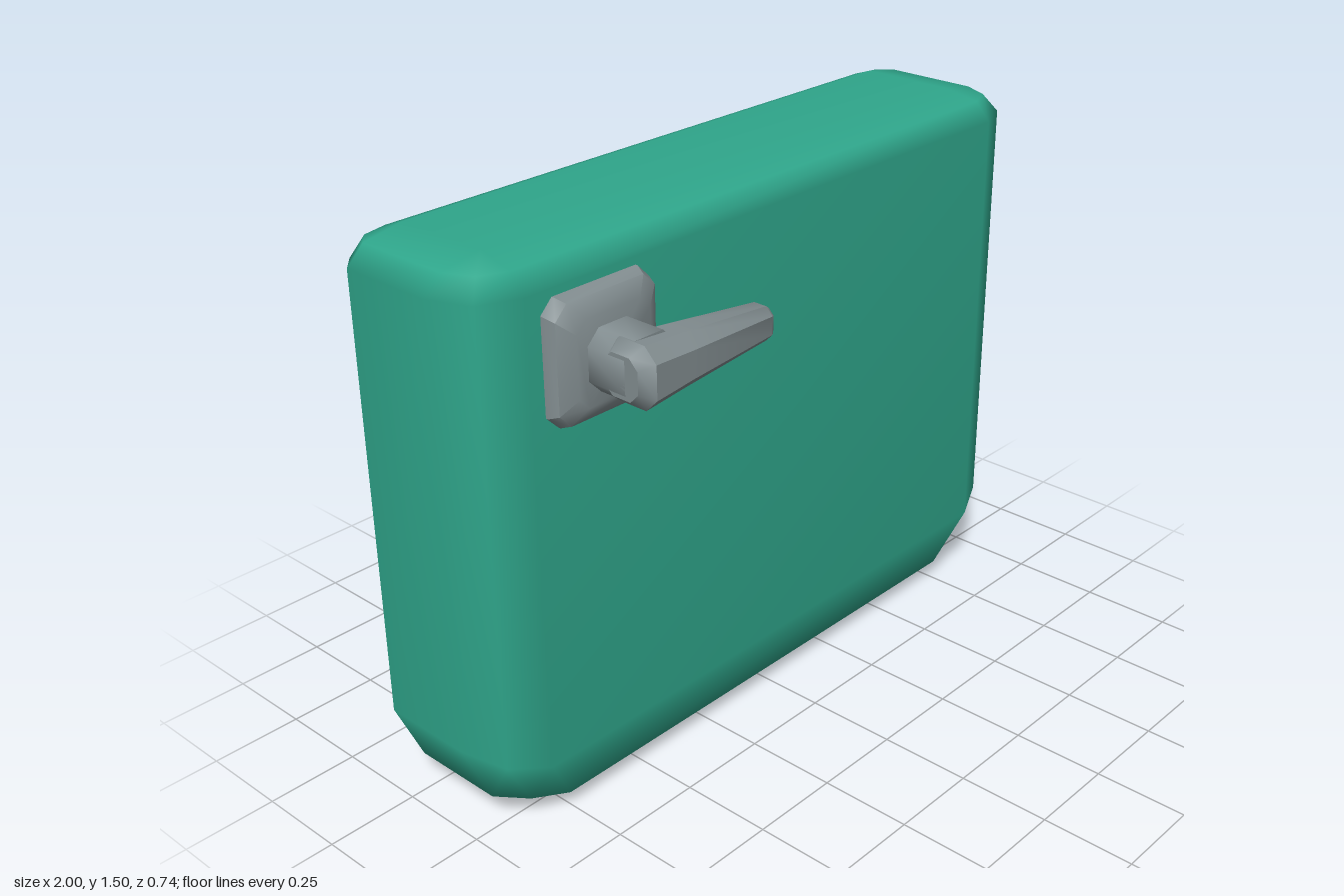
import * as THREE from 'three';
import { mergeVertices, toCreasedNormals } from 'three/addons/utils/BufferGeometryUtils.js';

// Skin a list of rings (each counter-clockwise about the loft axis) and cap both ends.
function loft(rings) {
  const n = rings[0].length, last = (rings.length - 1) * n, index = [];
  for (let i = 0; i < rings.length - 1; i++) {
    for (let j = 0; j < n; j++) {
      const k = (j + 1) % n, a = i * n, b = a + n;
      index.push(a + j, a + k, b + k, a + j, b + k, b + j);
    }
  }
  for (let j = 1; j < n - 1; j++) {
    index.push(0, j + 1, j, last, last + j, last + j + 1);
  }
  let g = new THREE.BufferGeometry();
  g.setAttribute('position', new THREE.Float32BufferAttribute(rings.flat(2), 3));
  g.setIndex(index);
  g = mergeVertices(g, 1e-4);
  g.computeVertexNormals();
  return g;
}

// Rectangle with cut corners, counter-clockwise in (u, v).
function octagon(u0, u1, v0, v1, c) {
  return [[u0 + c, v0], [u1 - c, v0], [u1, v0 + c], [u1, v1 - c],
    [u1 - c, v1], [u0 + c, v1], [u0, v1 - c], [u0, v0 + c]];
}
const alongX = (x, ...r) => octagon(...r).map(([y, z]) => [x, y, z]);
const alongZ = (z, ...r) => octagon(...r).map(([x, y]) => [x, y, z]);

// Horizontal tank ring: three points per corner, listed from the z side to the x side.
// xs = half widths, front/back = z positions, ys = heights of those points.
function tankRing(xs, front, back, ys) {
  const corner = (s, zs) => xs.map((x, i) => [s * x, ys[i], zs[i]]);
  return [...corner(1, front), ...corner(1, back).reverse(),
    ...corner(-1, back), ...corner(-1, front).reverse()];
}

export function createModel() {
  const green = new THREE.MeshStandardMaterial({ color: 0x2fa68b });
  green.name = 'green';
  const grey = new THREE.MeshStandardMaterial({ color: 0x838e91 });
  grey.name = 'grey';

  const group = new THREE.Group();
  group.name = 'waterTank';
  const add = (name, geometry, material, parent = group) => {
    const mesh = new THREE.Mesh(geometry, material);
    mesh.name = name;
    parent.add(mesh);
  };

  // Tank body: deep bevel at the bottom, shallow bevel at the top
  const sides = [[0.85, 0.955, 1], [0.128, 0.083, -0.03], [-0.37, -0.34, -0.29]];
  add('tankBody', loft([
    tankRing([0.75, 0.75, 0.75], [-0.02, -0.02, -0.02], [-0.285, -0.285, -0.285], [0, 0, 0]),
    tankRing([0.76, 0.86, 0.925], [0.085, 0.05, -0.02], [-0.34, -0.325, -0.285], [0.05, 0.07, 0.078]),
    tankRing(...sides, [0.2, 0.23, 0.25]),
    tankRing(...sides, [1.43, 1.43, 1.43]),
    tankRing([0.85, 0.92, 0.955], [0.085, 0.055, -0.02], [-0.34, -0.325, -0.285], [1.48, 1.48, 1.48]),
    tankRing([0.84, 0.84, 0.84], [-0.02, -0.02, -0.02], [-0.285, -0.285, -0.285], [1.5, 1.5, 1.5]),
  ]), green);

  // Flush handle: mounting plate, post and tapered lever
  const handle = new THREE.Group();
  handle.name = 'flushHandle';
  group.add(handle);
  add('handlePlate', toCreasedNormals(loft([
    alongZ(0.11, -0.81, -0.485, 1.095, 1.41, 0.035),
    alongZ(0.135, -0.81, -0.485, 1.095, 1.41, 0.035),
    alongZ(0.163, -0.8, -0.495, 1.105, 1.4, 0.035),
    alongZ(0.187, -0.76, -0.535, 1.145, 1.36, 0.03),
  ]), 0.7), grey, handle);
  add('handlePost', toCreasedNormals(loft([
    alongZ(0.17, -0.73, -0.575, 1.175, 1.33, 0.035),
    alongZ(0.3, -0.73, -0.575, 1.175, 1.33, 0.035),
  ]), 0.9), grey, handle);
  add('handleLever', toCreasedNormals(loft([
    alongX(-0.73, 1.2, 1.305, 0.235, 0.34, 0.025),
    alongX(-0.7, 1.175, 1.33, 0.22, 0.368, 0.035),
    alongX(-0.575, 1.185, 1.32, 0.232, 0.361, 0.033),
    alongX(-0.3, 1.21, 1.296, 0.27, 0.347, 0.02),
    alongX(-0.282, 1.222, 1.284, 0.283, 0.334, 0.015),
  ]), 0.7), grey, handle);

  return group;
}
